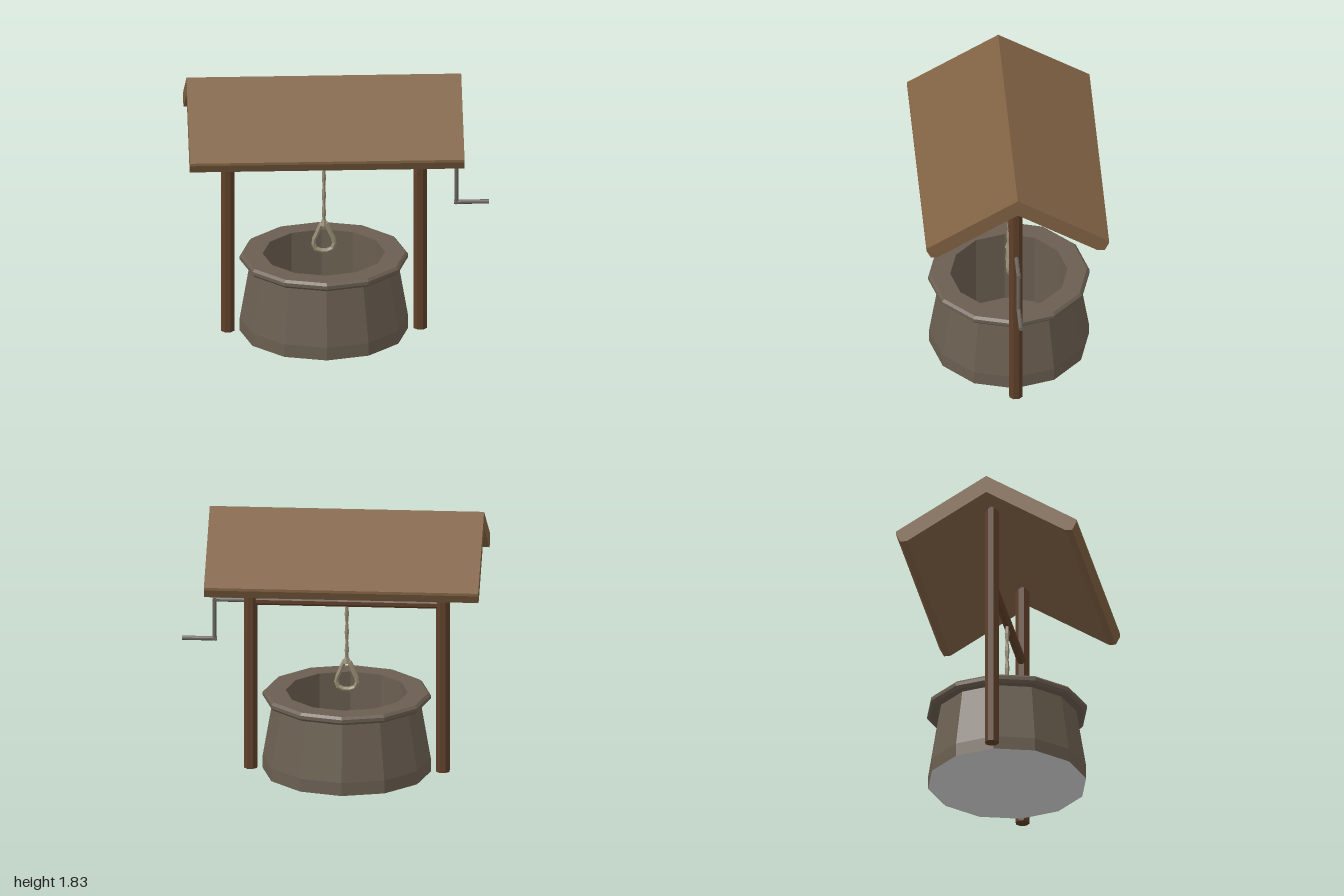
import * as THREE from 'three';

const mat = (name, color) => {
  const m = new THREE.MeshStandardMaterial({ color, flatShading: true });
  m.name = name;
  return m;
};

export function createModel() {
  const group = new THREE.Group();
  const stone = mat('stone', 0x6a5e50);
  const base = mat('base grey', 0xd6d6d6);
  const roofWood = mat('roof wood', 0x806243);
  const postWood = mat('post wood', 0x5e3f29);
  const rope = mat('rope', 0x968b73);
  const iron = mat('handle metal', 0x6a655e);

  const CX = -0.091; // centre line of the well
  const CZ = -0.006;
  const add = (name, geo, material, x = 0, y = 0, z = 0) => {
    const m = new THREE.Mesh(geo, material);
    m.name = name;
    m.position.set(x, y, z);
    group.add(m);
    return m;
  };
  const lathe = (pts, sides) =>
    new THREE.LatheGeometry(pts.map(([r, y]) => new THREE.Vector2(r, y)), sides);

  // Twelve-sided stone basin, slightly narrower front to back
  const basin = lathe([[0.557, 0], [0.557, 0.09], [0.487, 0.5]], 12);
  add('basinWall', basin, stone, CX, 0, CZ).scale.z = 0.95;
  const rim = lathe([[0.47, 0.493], [0.54, 0.493], [0.557, 0.51], [0.557, 0.533],
    [0.54, 0.55], [0.405, 0.55]], 12);
  add('basinRim', rim, stone, CX, 0, CZ).scale.z = 0.96;
  const inside = lathe([[0.405, 0.55], [0.405, 0.02], [0, 0.02]], 12);
  add('basinInside', inside, stone, CX, 0, CZ).scale.z = 0.96;
  const bottom = new THREE.CircleGeometry(0.557, 12).rotateX(Math.PI / 2);
  add('basinBottom', bottom, base, CX, 0, CZ).scale.z = 0.95;

  // Posts and the winding beam between them, flat faces turned to the front
  for (const [name, x] of [['rightPost', -0.728], ['leftPost', 0.546]]) {
    const post = new THREE.CylinderGeometry(0.0475, 0.0475, 1.72, 8).rotateY(Math.PI / 8);
    add(name, post, postWood, x, 0.865, CZ);
  }
  const beam = new THREE.CylinderGeometry(0.03, 0.03, 1.24, 8)
    .rotateY(Math.PI / 8).rotateZ(Math.PI / 2);
  add('beam', beam, postWood, CX, 1.173, CZ);

  // Gabled roof: chevron section with bevelled eaves, run along x
  const half = [[0.605, 1.463], [0.605, 1.445], [0.575, 1.388], [0.53, 1.39]];
  const section = new THREE.Shape([
    [0, 1.825], ...half.map(([z, y]) => [-z, y]), [0, 1.708],
    ...half.slice().reverse(),
  ].map(([z, y]) => new THREE.Vector2(z, y)));
  const roof = new THREE.ExtrudeGeometry(section, { depth: 1.817, bevelEnabled: false });
  add('roof', roof.rotateY(Math.PI / 2), roofWood, -1);

  // Crank handle: three square-cornered rods
  const rod = (name, len, x, y, upright) => {
    const g = new THREE.CylinderGeometry(0.0145, 0.0145, len, 8).rotateY(Math.PI / 8);
    if (!upright) g.rotateZ(Math.PI / 2);
    add(name, g, iron, x, y, -0.008);
  };
  rod('crankAxle', 0.24, 0.677, 1.174, false);
  rod('crankArm', 0.298, 0.785, 1.037, true);
  rod('crankGrip', 0.23, 0.885, 0.9, false);

  // Hanging rope with an uneven, twisted outline
  const strand = [];
  for (let i = 0; i <= 6; i++) {
    strand.push([i % 2 ? 0.016 : 0.01, 0.775 + i * 0.0635]);
  }
  add('rope', lathe(strand, 6), rope, CX, 0, CZ);
  add('ropeKnot', new THREE.CylinderGeometry(0.015, 0.028, 0.04, 6), rope, CX, 0.768, CZ);

  // Teardrop loop at the rope end, kept angular
  const side = [[0.015, 0.762], [0.045, 0.69], [0.071, 0.63], [0.058, 0.583], [0.025, 0.566]];
  const loop = new THREE.CatmullRomCurve3([
    ...side, ...side.slice().reverse().map(([x, y]) => [-x, y]),
  ].map(([x, y]) => new THREE.Vector3(x, y, 0)), true, 'catmullrom', 0.3);
  add('ropeLoop', new THREE.TubeGeometry(loop, 14, 0.0165, 6, true), rope, CX, 0, CZ);

  return group;
}
